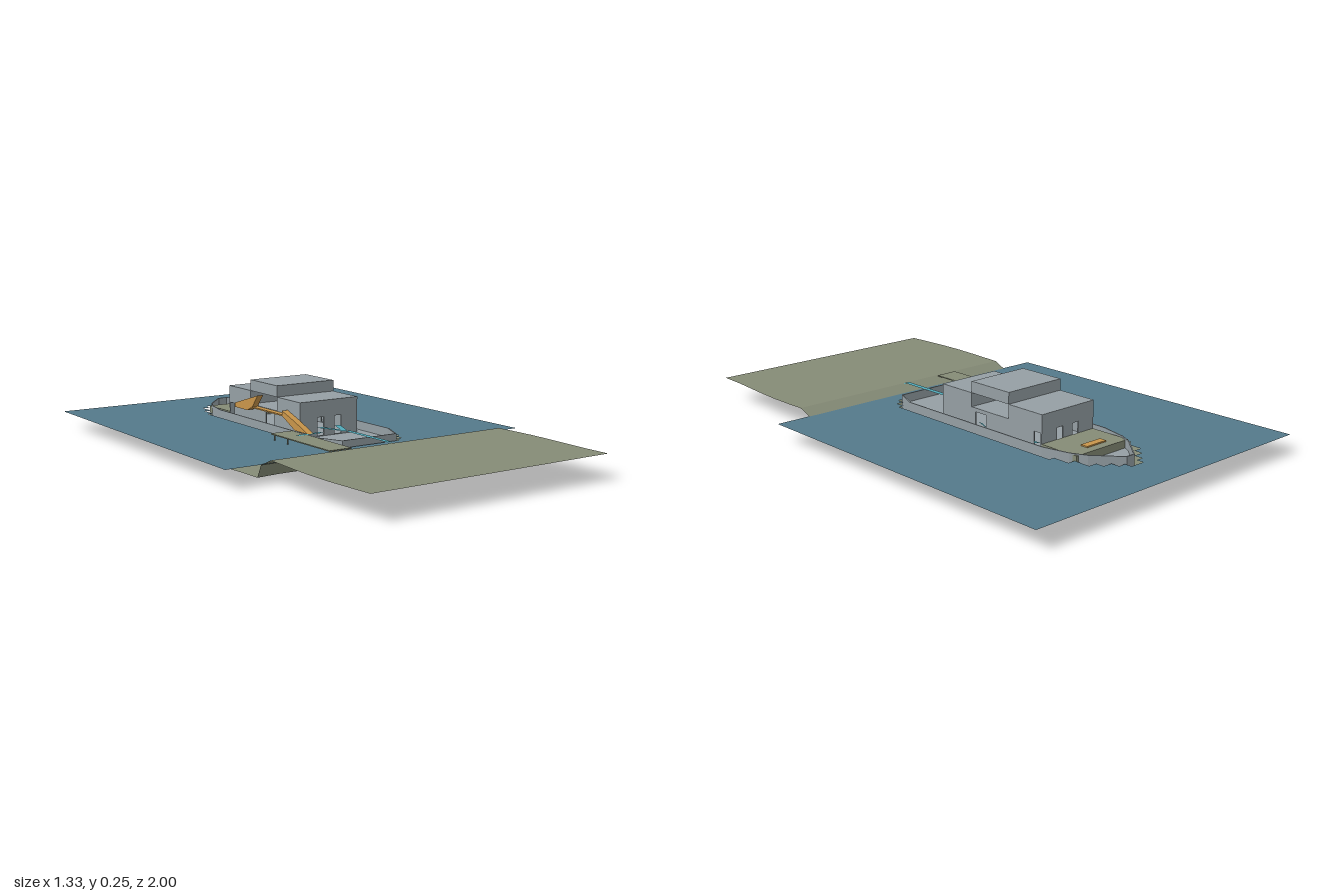
import * as THREE from 'three';

const mat = (name, color) => new THREE.MeshStandardMaterial({ name, color, side: THREE.DoubleSide });

export function createModel() {
  const M = {
    water: mat('water blue', 0x54798a),
    land: mat('sand khaki', 0x858b76),
    grey: mat('ship grey', 0x959fa4),
    stair: mat('stair orange', 0xc8954a),
    path: mat('path cyan', 0x52a9b8),
  };
  const model = new THREE.Group();
  const add = (name, geo, m, x = 0, y = 0, z = 0, parent = model) => {
    const mesh = new THREE.Mesh(geo, m);
    mesh.name = name;
    mesh.position.set(x, y, z);
    parent.add(mesh);
    return mesh;
  };
  const v2 = (pts) => pts.map(([a, b]) => new THREE.Vector2(a, b));
  const shape = (pts, holes = []) => {
    const s = new THREE.Shape(v2(pts));
    holes.forEach((h) => s.holes.push(new THREE.Path(v2(h))));
    return s;
  };
  const rect = (x0, x1, y0, y1) => [[x0, y0], [x1, y0], [x1, y1], [x0, y1]];
  // horizontal sheet from [x, z] points
  const sheet = (pts, holes) => new THREE.ShapeGeometry(shape(pts.map(([x, z]) => [x, -z]),
    (holes || []).map((h) => h.map(([x, z]) => [x, -z])))).rotateX(-Math.PI / 2);
  const extrude = (s, depth) => new THREE.ExtrudeGeometry(s, { depth, bevelEnabled: false });
  // mirrored closed outline from the +x half
  const mirrorOutline = (half) => [...half, ...half.slice().reverse().map(([x, z]) => [-x, z])];

  // land sheet dropping to the sea bed
  const profile = [[1, 0.093], [0.9, 0.093], [0.8, 0.093], [0.7, 0.093], [0.6, 0.093], [0.5, 0.093],
    [0.43, 0.093], [0.365, 0.065], [0.34, 0.015]];
  for (let i = 1; i <= 12; i++) profile.push([0.34 - i * 0.1, 0.015]);
  const cols = 24, pos = [], idx = [];
  profile.forEach(([z, y], r) => {
    for (let c = 0; c <= cols; c++) {
      const u = (c / cols) * 2 - 1;
      const x = u * 0.523 + 0.009 * Math.abs(u) * Math.sin(z * 8 + (u > 0 ? 3.2 : 2)) * (u > 0 ? 1 : -1);
      pos.push(x, y < 0.05 ? y + 0.003 * Math.sin(x * 12) : y, z);
      if (r && c) {
        const a = (r - 1) * (cols + 1) + c - 1, b = a + cols + 1;
        idx.push(a, a + 1, b, a + 1, b + 1, b);
      }
    }
  });
  const bed = new THREE.BufferGeometry();
  bed.setAttribute('position', new THREE.Float32BufferAttribute(pos, 3));
  bed.setIndex(idx);
  const flatBed = bed.toNonIndexed();
  flatBed.computeVertexNormals();
  add('landAndSeaBed', flatBed, M.land);

  // water with a stepped cut-out around the ship
  const steps = [[0.03, -0.83], [0.06, -0.8], [0.1, -0.765], [0.135, -0.73], [0.165, -0.66], [0.188, -0.59]];
  const cut = [];
  steps.forEach(([x, z], i) => {
    if (i) cut.push([steps[i - 1][0], z]);
    cut.push([x, z]);
  });
  cut.push([0.188, 0.24], [0.165, 0.24], [0.165, 0.28], [0.135, 0.28], [0.135, 0.31]);
  add('water', sheet([[-0.665, -1], [0.665, -1], [0.665, 0.38], [-0.665, 0.38]], [mirrorOutline(cut)]), M.water, 0, 0.07);

  // dock and its piles
  add('dock', new THREE.BoxGeometry(0.095, 0.004, 0.39), M.land, -0.217, 0.093, 0.225);
  for (const x of [-0.26, -0.175]) for (const z of [0.05, 0.14]) {
    add('dockPile', new THREE.CylinderGeometry(0.003, 0.003, 0.092, 6), M.land, x, 0.046, z);
  }

  // hull walls, decks
  const ship = new THREE.Group();
  ship.name = 'ship';
  model.add(ship);
  const hullHalf = [[0.02, -0.8], [0.11, -0.7], [0.14, -0.64], [0.165, -0.53], [0.168, 0.2], [0.125, 0.3]];
  const hull = mirrorOutline(hullHalf);
  const inner = mirrorOutline(hullHalf.map(([x, z]) => [x * 0.975, -0.25 + (z + 0.25) * 0.99]));
  add('hullWalls', extrude(shape(hull, [inner]), 0.075).rotateX(Math.PI / 2), M.grey, 0, 0.095, 0, ship);
  add('hullBottom', sheet(hull), M.grey, 0, 0.021, 0, ship);
  add('mainDeck', sheet(inner), M.grey, 0, 0.06, 0, ship);
  add('foredeck', new THREE.BoxGeometry(0.27, 0.03, 0.17), M.land, 0, 0.075, -0.585, ship);
  add('hatch', new THREE.BoxGeometry(0.1, 0.005, 0.03), M.stair, -0.007, 0.0925, -0.62, ship);

  // deckhouse: end walls with two doorways, side walls with doorways and the open bridge gap
  const t = 0.005;
  const endDoors = [rect(-0.055, -0.025, 0.062, 0.135), rect(0.025, 0.057, 0.062, 0.135)];
  const endWall = extrude(shape(rect(-0.135, 0.135, 0.06, 0.2), endDoors), t);
  add('frontWall', endWall, M.grey, 0, 0, 0.035 - t, ship);
  add('backWall', endWall, M.grey, 0, 0, -0.5, ship);
  const sideWall = extrude(shape(
    [[-0.5, 0.06], [0.035, 0.06], [0.035, 0.2], [-0.13, 0.2], [-0.13, 0.145], [-0.33, 0.145], [-0.33, 0.2], [-0.5, 0.2]],
    [rect(-0.212, -0.152, 0.062, 0.13), rect(-0.495, -0.462, 0.062, 0.13)]), t).rotateY(-Math.PI / 2);
  add('leftWall', sideWall, M.grey, 0.135, 0, 0, ship);
  add('rightWall', sideWall, M.grey, -0.135 + t, 0, 0, ship);
  const roofs = [['frontRoof', 0.2, -0.13, 0.035], ['bridgeFloor', 0.145, -0.33, -0.13], ['backRoof', 0.2, -0.5, -0.33]];
  for (const [name, y, z0, z1] of roofs) {
    add(name, new THREE.BoxGeometry(0.27, t, z1 - z0), M.grey, 0, y - t / 2, (z0 + z1) / 2, ship);
  }
  for (const z of [-0.13 + t / 2, -0.33 - t / 2]) {
    add('bridgeGapWall', new THREE.BoxGeometry(0.27, 0.055, t), M.grey, 0, 0.1725, z, ship);
  }
  add('bridgeTop', new THREE.BoxGeometry(0.27, 0.045, 0.2), M.grey, 0, 0.2225, -0.23, ship);

  // outside stairs along the right side
  const stair = (name, pts) =>
    add(name, extrude(shape(pts), 0.026).rotateY(-Math.PI / 2), M.stair, -0.137, 0, 0, ship);
  stair('lowerStair', [[0.13, 0.096], [0.04, 0.096], [-0.05, 0.14], [-0.05, 0.16], [0.04, 0.13]]);
  stair('landing', [[-0.05, 0.139], [-0.05, 0.144], [-0.3, 0.144], [-0.3, 0.139]]);
  stair('upperStair', [[-0.23, 0.195], [-0.27, 0.145], [-0.31, 0.125], [-0.41, 0.125], [-0.41, 0.142]]);

  // flat walking paths
  const path = (name, y, ...pts) => add(name, sheet(pts), M.path, 0, y);
  path('gangway', 0.0965, [-0.011, 0.16], [0.011, 0.16], [0.011, 0.42], [-0.011, 0.42]);
  path('landPath', 0.0925, [-0.011, 0.42], [0.011, 0.42], [0.011, 0.8], [-0.011, 0.8]);
  path('dockPath', 0.0965, [-0.21, 0.12], [-0.1, 0.12], [-0.1, 0.14], [-0.21, 0.14]);
  for (const s of [1, -1]) {
    path('doorPath', 0.094, [0, 0.15], [s * 0.012, 0.14], [s * 0.055, 0.03], [s * 0.03, 0.03], [0, 0.11]);
  }
  path('sideDoorPath', 0.094, [0.135, -0.17], [0.135, -0.19], [0.158, -0.24], [0.16, -0.235]);
  path('sideDoorPath', 0.094, [0.135, -0.5], [0.155, -0.48], [0.135, -0.465]);
  return model;
}
